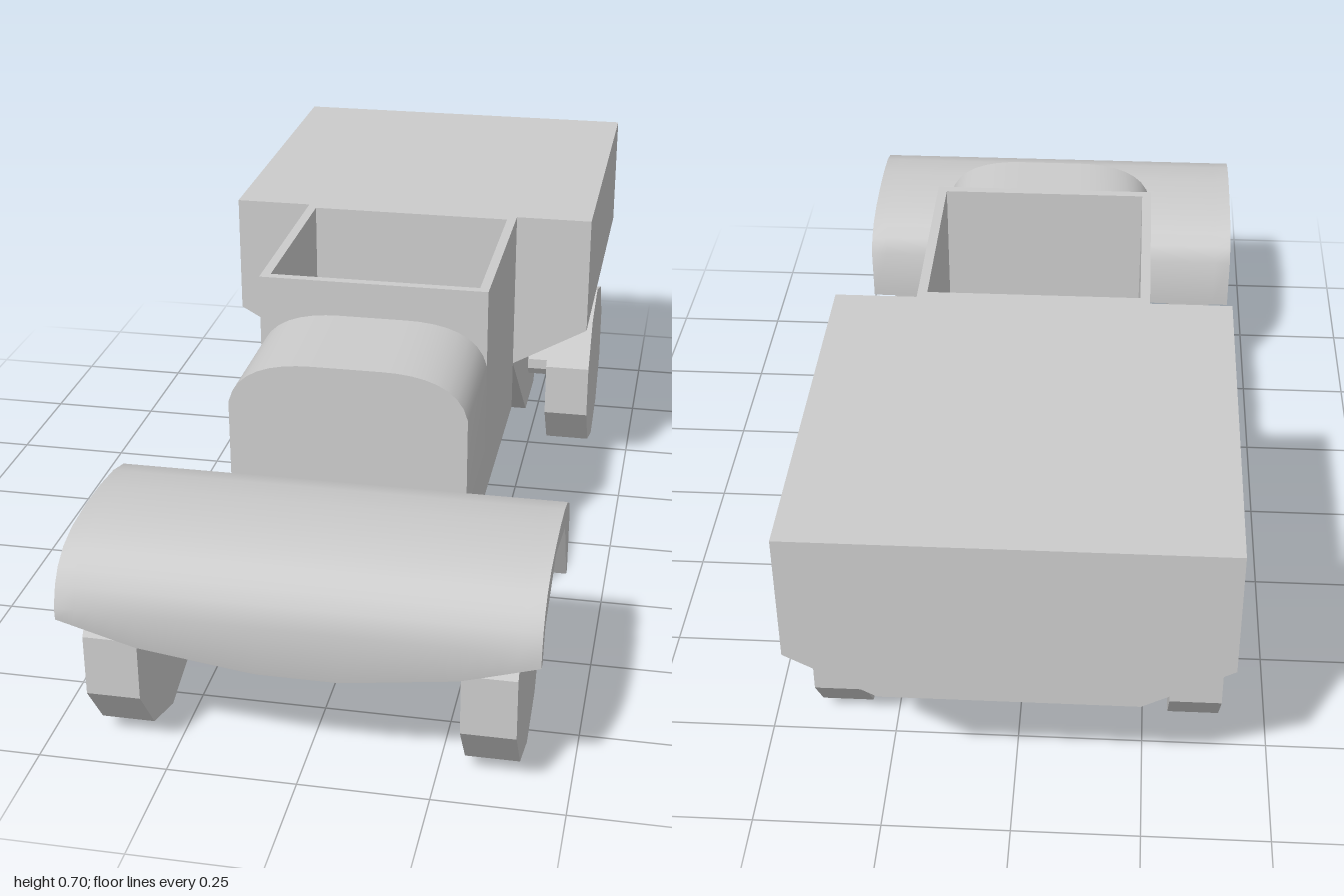
import * as THREE from 'three';
import { toCreasedNormals } from 'three/addons/utils/BufferGeometryUtils.js';

const smooth = new THREE.MeshStandardMaterial({ color: 0xcccccc });
const faceted = new THREE.MeshStandardMaterial({ color: 0xcccccc, flatShading: true });

function addMesh(parent, name, geometry, material = faceted) {
  const mesh = new THREE.Mesh(geometry, material);
  mesh.name = name;
  parent.add(mesh);
  return mesh;
}

// Extrudes a side profile given as [z, y] points across the width in x.
function sideProfile(points, width, steps = 1) {
  const shape = new THREE.Shape(points.map(([z, y]) => new THREE.Vector2(z, y)));
  const geometry = new THREE.ExtrudeGeometry(shape, { depth: width, steps, bevelEnabled: false });
  return geometry.translate(0, 0, -width / 2).rotateY(-Math.PI / 2);
}

// Joins rectangular sections, listed from the bottom up as [y, halfWidth, zBack, zFront].
function rectLoft(sections) {
  const positions = [], index = [];
  for (const [y, w, zb, zf] of sections) {
    positions.push(-w, y, zf, w, y, zf, w, y, zb, -w, y, zb);
  }
  for (let s = 0; s < sections.length - 1; s++) {
    for (let i = 0; i < 4; i++) {
      const a = s * 4 + i, b = s * 4 + (i + 1) % 4;
      index.push(a, b, b + 4, a, b + 4, a + 4);
    }
  }
  const t = (sections.length - 1) * 4;
  index.push(0, 2, 1, 0, 3, 2, t, t + 1, t + 2, t, t + 2, t + 3);
  const geometry = new THREE.BufferGeometry();
  geometry.setAttribute('position', new THREE.Float32BufferAttribute(positions, 3));
  geometry.setIndex(index);
  geometry.computeVertexNormals();
  return geometry;
}

// Ten-sided cylinder lying along x with a corner pointing straight down.
function crossCylinder(radius, length) {
  return new THREE.CylinderGeometry(radius, radius, length, 10)
    .rotateZ(Math.PI / 2).rotateX(Math.PI / 2);
}

// Arched shell over the front wheels; its front lip dips toward the middle.
function fenderGeometry() {
  const geometry = sideProfile([
    [0.53, 0.235], [0.545, 0.235], [0.62, 0.38], [0.795, 0.42], [0.955, 0.365],
    [0.98, 0.305], [0.999, 0.305], [1.0, 0.33], [0.985, 0.37], [0.965, 0.397],
    [0.93, 0.42], [0.88, 0.434], [0.8, 0.44], [0.72, 0.438], [0.64, 0.43],
    [0.58, 0.414], [0.545, 0.393], [0.525, 0.36],
  ], 0.89, 24);
  const p = geometry.attributes.position;
  for (let i = 0; i < p.count; i++) {
    if (p.getZ(i) < 0.97 || p.getY(i) > 0.31) continue;
    const x = Math.abs(p.getX(i));
    const drop = x > 0.3
      ? THREE.MathUtils.mapLinear(x, 0.3, 0.445, 0.05, 0)
      : THREE.MathUtils.mapLinear(Math.max(x, 0.08), 0.08, 0.3, 0.085, 0.05);
    p.setY(i, p.getY(i) - drop);
    p.setZ(i, p.getZ(i) - drop * 0.2);
  }
  return toCreasedNormals(geometry, 0.6);
}

// Hood with a softly rounded top.
function hoodGeometry() {
  const shape = new THREE.Shape();
  shape.moveTo(-0.24, 0.233);
  shape.lineTo(0.24, 0.233);
  shape.lineTo(0.24, 0.54);
  shape.bezierCurveTo(0.225, 0.61, 0.15, 0.63, 0.07, 0.63);
  shape.lineTo(-0.07, 0.63);
  shape.bezierCurveTo(-0.15, 0.63, -0.225, 0.61, -0.24, 0.54);
  const geometry = new THREE.ExtrudeGeometry(shape, { depth: 0.265, bevelEnabled: false, curveSegments: 8 });
  return toCreasedNormals(geometry.translate(0, 0, 0.255), 0.6);
}

// Open-topped cab walls.
function cabGeometry() {
  const rect = (P, w, z0, z1) => new P([
    new THREE.Vector2(-w, -z1), new THREE.Vector2(w, -z1),
    new THREE.Vector2(w, -z0), new THREE.Vector2(-w, -z0),
  ]);
  const shape = rect(THREE.Shape, 0.24, -0.21, 0.255);
  shape.holes.push(rect(THREE.Path, 0.22, -0.19, 0.235));
  return new THREE.ExtrudeGeometry(shape, { depth: 0.472, bevelEnabled: false })
    .rotateX(-Math.PI / 2).translate(0, 0.233, 0);
}

export function createModel() {
  const model = new THREE.Group();
  model.name = 'truck';

  // Cargo body: box, flared underside and a tapered keel over the rear axle
  addMesh(model, 'cargoBody', rectLoft([
    [0.085, 0.24, -0.69, -0.52],
    [0.345, 0.24, -1.0, -0.21],
    [0.44, 0.408, -1.0, -0.21],
    [0.705, 0.408, -1.0, -0.21],
  ]));

  // Cab and hood
  addMesh(model, 'cabWalls', cabGeometry());
  addMesh(model, 'cabFloor', new THREE.BoxGeometry(0.44, 0.02, 0.425)).position.set(0, 0.243, 0.0225);
  addMesh(model, 'hood', hoodGeometry(), smooth);

  // Front fender and the keel that carries the front axle
  addMesh(model, 'frontFender', fenderGeometry(), smooth);
  addMesh(model, 'frontKeel', sideProfile([
    [0.525, 0.235], [0.74, 0.125], [0.83, 0.125], [0.975, 0.22], [0.95, 0.36], [0.795, 0.42], [0.62, 0.38],
  ], 0.178));

  // Axles and wheels
  for (const [end, z] of [['front', 0.79], ['rear', -0.585]]) {
    addMesh(model, end + 'Axle', crossCylinder(0.04, 0.62)).position.set(0, 0.198, z);
    for (const [side, sign] of [['Left', 1], ['Right', -1]]) {
      addMesh(model, end + side + 'Wheel', crossCylinder(0.198, 0.103)).position.set(sign * 0.352, 0.198, z);
    }
  }
  return model;
}
